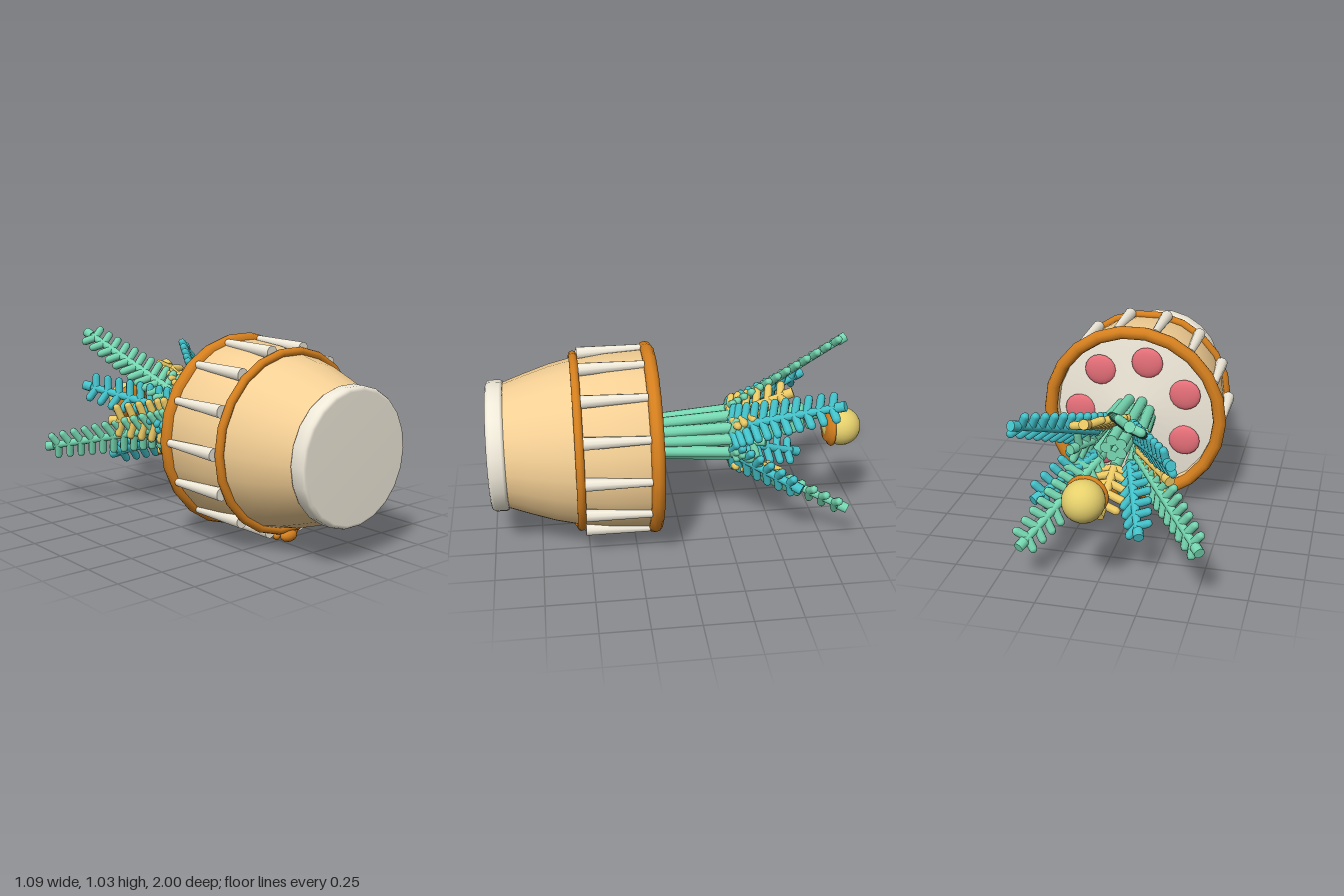
import * as THREE from 'three';

const V = (x, y, z) => new THREE.Vector3(x, y, z);
const mat = (color) => new THREE.MeshStandardMaterial({ color, side: THREE.DoubleSide });
const TAN = mat(0xf4cf94), ORANGE = mat(0xd6801e), CREAM = mat(0xf0eada), MINT = mat(0x76d8b2);
const TEAL = mat(0x44c4cc), YELLOW = mat(0xecca64), PINK = mat(0xe8707a), GOLD = mat(0xe6d06c);
const CX = 0.025, CY = 0.525, SIDES = 22;

function add(parent, name, geometry, material, pos = V(0, 0, 0)) {
  const mesh = new THREE.Mesh(geometry, material);
  mesh.name = name;
  mesh.position.copy(pos);
  parent.add(mesh);
  return mesh;
}

// Rounded or tapered rod running from a to b
function rod(parent, name, a, b, r0, r1, material, round = false) {
  const len = a.distanceTo(b);
  const geo = round
    ? new THREE.CapsuleGeometry(r0, Math.max(len - r0, 0.01), 2, 8)
    : new THREE.CylinderGeometry(r1, r0, len, 10);
  const mesh = add(parent, name, geo, material, a.clone().lerp(b, 0.5));
  mesh.quaternion.setFromUnitVectors(V(0, 1, 0), b.clone().sub(a).normalize());
  return mesh;
}

const lathe = (pts) =>
  new THREE.LatheGeometry(pts.map((p) => new THREE.Vector2(...p)), SIDES, Math.PI / 2);
const ring = (r, tube) => new THREE.TorusGeometry(r, tube, 10, SIDES).rotateX(Math.PI / 2);

// Pot, modelled upright and then laid on its side with the opening to the back
function makePot() {
  const pot = new THREE.Group();
  pot.name = 'pot';
  pot.position.set(CX, CY, 1);
  pot.rotation.x = -Math.PI / 2;
  add(pot, 'foot', lathe([[0, 0], [0.325, 0], [0.34, 0.006], [0.347, 0.02], [0.347, 0.075],
    [0.34, 0.088], [0.325, 0.093], [0, 0.093]]), CREAM);
  add(pot, 'body', lathe([[0.33, 0.08], [0.373, 0.2], [0.416, 0.33], [0.446, 0.46],
    [0.469, 0.62], [0.482, 0.84], [0.45, 0.85], [0.44, 0.78]]), TAN);
  add(pot, 'lowerBand', ring(0.457, 0.023), ORANGE, V(0, 0.46, 0));
  add(pot, 'rim', ring(0.477, 0.036), ORANGE, V(0, 0.845, 0));
  add(pot, 'soil', lathe([[0.46, 0.795], [0.31, 0.82], [0, 0.86]]), CREAM);

  // Tapered staves around the upper half
  for (let i = 0; i < 14; i++) {
    const a = (i / 14) * Math.PI * 2, c = Math.cos(a), s = Math.sin(a);
    rod(pot, 'stave', V(0.471 * c, 0.48, 0.471 * s), V(0.484 * c, 0.815, 0.484 * s), 0.034, 0.02, CREAM);
  }
  // Round spots on the top surface
  for (let i = 0; i < 7; i++) {
    const a = (i / 7) * Math.PI * 2;
    const spot = add(pot, 'spot', new THREE.SphereGeometry(0.087, 16, 10), PINK,
      V(0.31 * Math.cos(a), 0.825, 0.31 * Math.sin(a)));
    spot.scale.y = 0.3;
  }
  return pot;
}

// Knot with small beads under the lower band
function makeKnot() {
  const knot = new THREE.Group();
  knot.name = 'knot';
  add(knot, 'knotCentre', new THREE.SphereGeometry(0.033, 14, 10), ORANGE, V(CX, 0.033, 0.545)).scale.x = 1.55;
  for (const [x, y, z] of [[-0.06, 0.036, 0.52], [0.06, 0.036, 0.52], [-0.035, 0.032, 0.475],
    [0.035, 0.032, 0.475], [0, 0.03, 0.46]])
    add(knot, 'knotBead', new THREE.SphereGeometry(0.02, 10, 8), ORANGE, V(CX + x, y, z));
  return knot;
}

// One frond: stem out of the pot, then a spine with paired leaflets
function makeFrond(tip, material, leafLength) {
  const frond = new THREE.Group();
  frond.name = 'frond';
  const out = V(tip.x - CX, tip.y - CY, 0).normalize();
  const at = (r, z) => V(CX + out.x * r, CY + out.y * r, z);
  const neck = at(0.125, -0.27);
  rod(frond, 'stem', at(0.09, 0.18), neck, 0.03, 0.03, MINT);
  rod(frond, 'spine', neck, tip, 0.025, 0.02, material);
  const dir = tip.clone().sub(neck), length = dir.length();
  dir.normalize();
  rod(frond, 'frondTip', tip.clone().addScaledVector(dir, -0.05), tip, 0.027, 0.027, material);
  const side = dir.clone().cross(out).normalize();
  const count = Math.round(length / 0.06);
  for (let i = 0; i < count; i++) {
    // Leaflets crowd near the neck and thin out towards the tip
    const t = Math.pow(i / count, 1.25), root = neck.clone().lerp(tip, t);
    const reach = leafLength * (1 - 0.4 * t);
    for (const s of [-1, 1]) {
      const end = root.clone().addScaledVector(side, s * reach)
        .addScaledVector(dir, reach * 0.25).addScaledVector(out, reach * 0.12);
      rod(frond, 'leaflet', root, end, 0.022, 0.022, material, true);
    }
  }
  return frond;
}

function makePlant() {
  const plant = new THREE.Group();
  plant.name = 'plant';
  const fronds = [
    [-0.21, 0.95, -0.95, MINT], [-0.53, 0.32, -0.9, MINT], [0.37, 0.21, -0.86, MINT],
    [0.4, 0.83, -0.8, TEAL], [-0.36, 0.68, -0.75, TEAL], [0.37, 0.34, -0.61, TEAL],
    [-0.2, 0.26, -0.72, TEAL], [0.1, 0.78, -0.6, YELLOW], [-0.32, 0.5, -0.56, YELLOW],
    [0.04, 0.27, -0.57, YELLOW], [0.22, 0.56, -0.44, MINT],
  ];
  for (const [x, y, z, m] of fronds) plant.add(makeFrond(V(x, y, z), m, m === YELLOW ? 0.125 : 0.11));
  // Inner stems filling the bundle
  for (let i = 0; i < 5; i++) {
    const a = (i / 5) * Math.PI * 2, x = CX + 0.045 * Math.cos(a), y = CY + 0.045 * Math.sin(a);
    rod(plant, 'innerStem', V(x, y, 0.18), V(x, y, -0.3), 0.03, 0.03, MINT);
  }
  return plant;
}

// Floating ball with its collar
function makeBall() {
  const ball = new THREE.Group();
  ball.name = 'ballOrnament';
  ball.position.set(CX, CY, -1);
  ball.rotation.x = Math.PI / 2;
  add(ball, 'ball', new THREE.SphereGeometry(0.105, 24, 16), GOLD, V(0, 0.105, 0));
  add(ball, 'collar', lathe([[0.09, 0.152], [0.102, 0.156], [0.107, 0.167], [0.1, 0.178],
    [0.085, 0.185], [0.072, 0.2], [0, 0.203]]), ORANGE);
  return ball;
}

export function createModel() {
  const model = new THREE.Group();
  model.name = 'pottedPlant';
  model.add(makePot(), makeKnot(), makePlant(), makeBall());
  return model;
}
